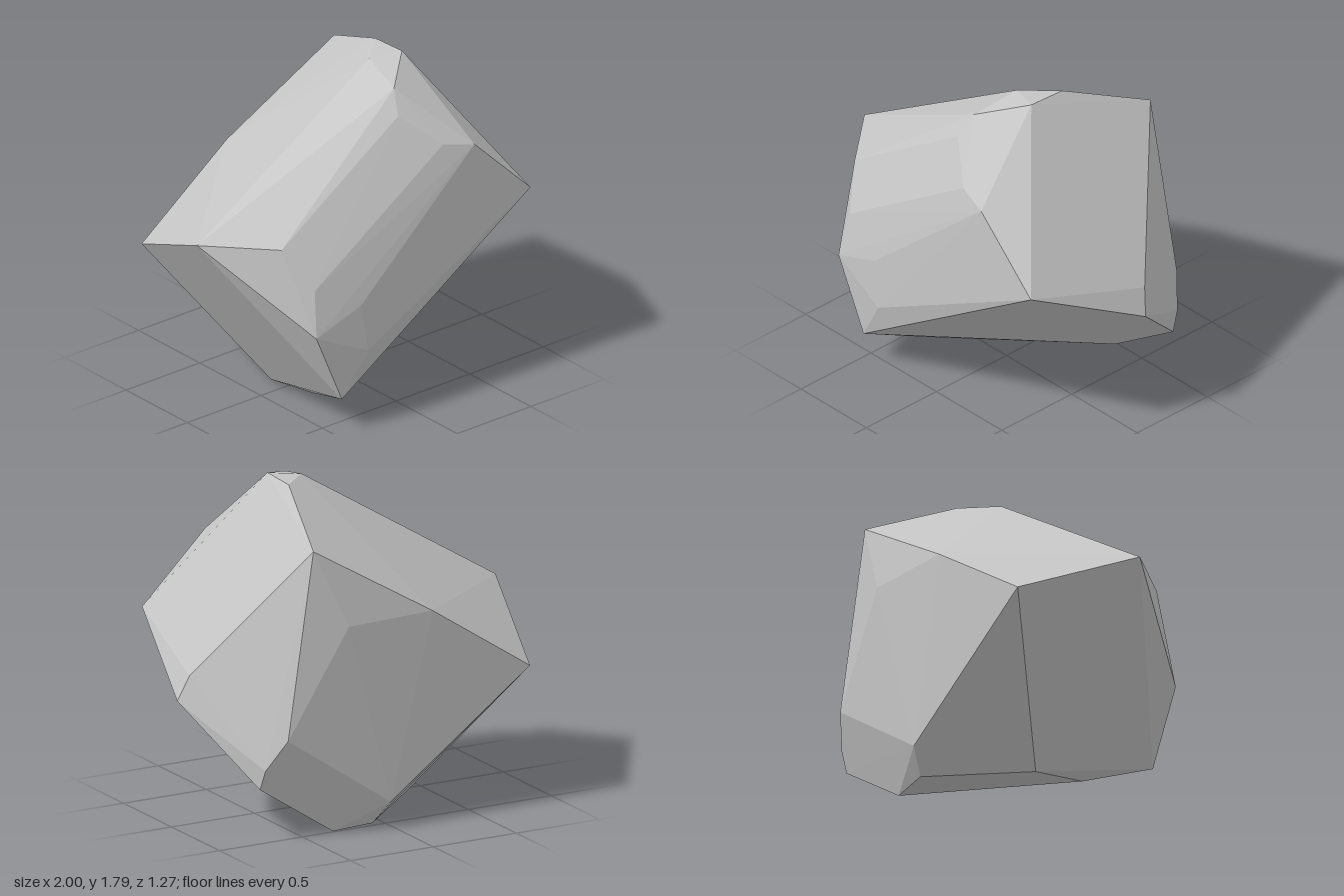
import * as THREE from 'three';
import { ConvexGeometry } from 'three/addons/geometries/ConvexGeometry.js';

// Corners of the boulder, grouped by side
const ridge = [
  [0.17, 1.78, 0.08], [0.34, 1.795, 0.14], [0.34, 1.785, -0.08],
  [0.12, 1.72, 0.34], [0.48, 1.57, -0.58], [-1, 1.06, 0.08],
];
const front = [
  [-0.71, 1.07, 0.42], [0.08, 1.6, 0.42], [-0.6, 0.85, 0.56], [0.27, 1.43, 0.56],
  [-0.63, 0.6, 0.61], [0.45, 1.39, 0.6], [-0.34, 0.71, 0.625], [-0.3, 0.44, 0.635],
  [0.83, 1.02, 0.6], [-0.45, 0.19, 0.6],
];
const side = [
  [1, 0.7, -0.06], [0.95, 0.84, -0.1], [0.75, 0.29, -0.49], [0.65, 0.57, -0.61],
  [0.74, 0.4, -0.53],
];
const back = [
  [-0.82, 0.76, -0.59], [-0.21, 1.16, -0.63], [0.3, 1.15, -0.64], [0.03, 0.15, -0.61],
];
const base = [
  [-0.34, 0.05, 0.22], [-0.35, 0.01, -0.1], [0.09, 0.02, -0.52], [0.31, 0, -0.49],
];

export function createModel() {
  const group = new THREE.Group();
  group.name = 'boulder';
  const stone = new THREE.MeshStandardMaterial({ color: 0xc6c6c6 });
  stone.name = 'pale grey stone';

  // Convex chunk with flat facets
  const points = [...ridge, ...front, ...side, ...back, ...base]
    .map((p) => new THREE.Vector3(...p));
  const rock = new THREE.Mesh(new ConvexGeometry(points), stone);
  rock.name = 'rock';
  group.add(rock);
  return group;
}
